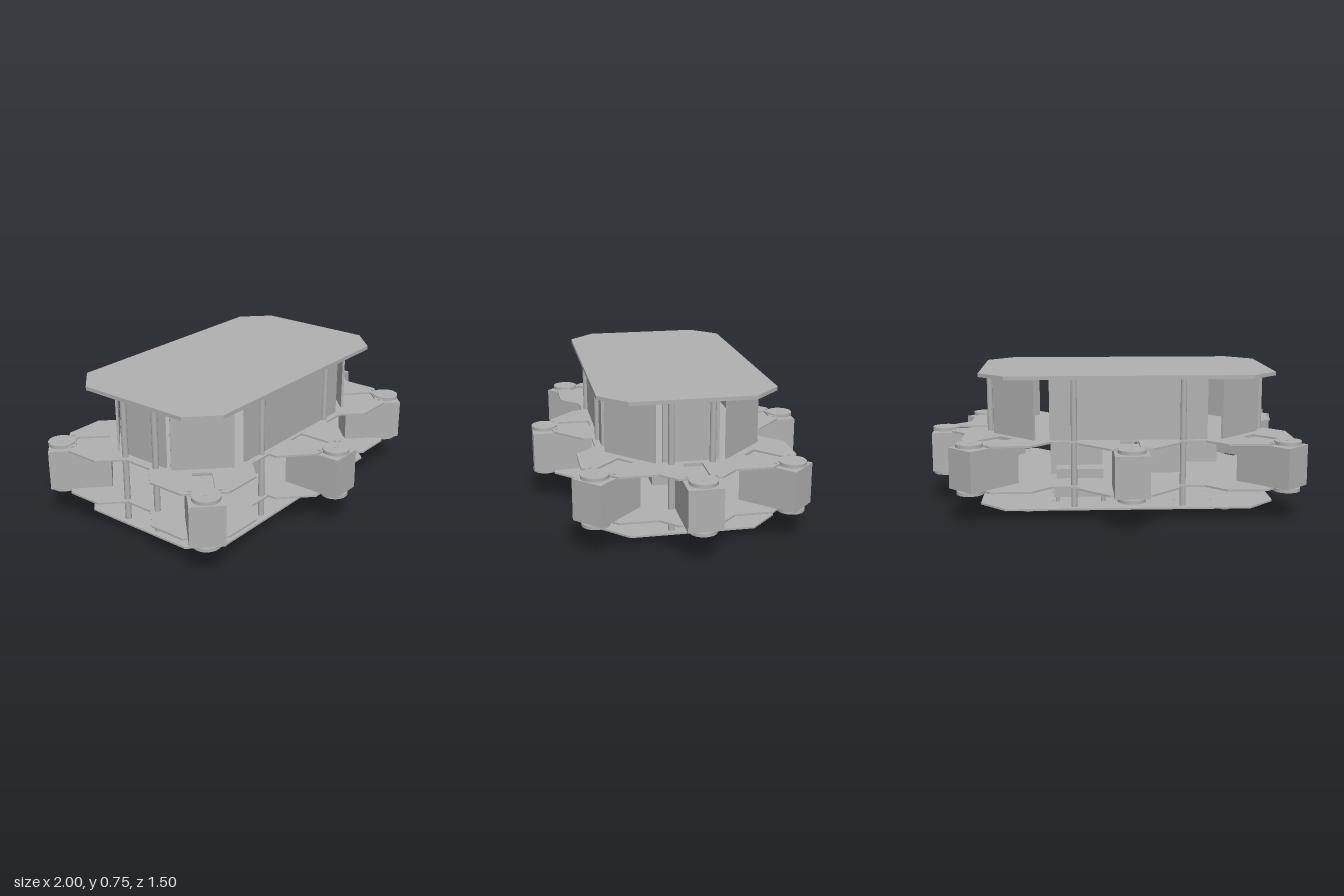
import * as THREE from 'three';

export function createModel() {
  const root = new THREE.Group();
  root.name = 'robotChassis';
  const body = new THREE.Group();
  body.name = 'chassis';
  body.position.x = -0.0725;
  root.add(body);

  const gray = new THREE.MeshStandardMaterial({ color: 0xb0b0b0 });
  gray.name = 'plain gray';

  const add = (name, geometry, x, y, z, turn = 0, parent = body) => {
    const mesh = new THREE.Mesh(geometry, gray);
    mesh.name = name;
    mesh.position.set(x, y, z);
    mesh.rotation.y = turn;
    parent.add(mesh);
    return mesh;
  };
  // Box given by its limits
  const block = (name, x0, x1, y0, y1, z0, z1) =>
    add(name, new THREE.BoxGeometry(x1 - x0, y1 - y0, z1 - z0), (x0 + x1) / 2, (y0 + y1) / 2, (z0 + z1) / 2);
  const rod = (name, r, y0, y1, x, z, sides = 16) =>
    add(name, new THREE.CylinderGeometry(r, r, y1 - y0, sides), x, (y0 + y1) / 2, z);
  // Horizontal sheet from a plan outline
  const sheet = (name, points, holes, y0, y1) => {
    const shape = new THREE.Shape(points.map(([x, z]) => new THREE.Vector2(x, z)));
    shape.holes = holes;
    const geometry = new THREE.ExtrudeGeometry(shape, { depth: y1 - y0, bevelEnabled: false, curveSegments: 6 });
    geometry.rotateX(Math.PI / 2);
    return add(name, geometry, 0, y1, 0);
  };
  const roundHole = (x, z, r) => new THREE.Path().absarc(x, z, r, 0, Math.PI * 2, true);

  // Bottom and top plates with cut corners
  const L = 0.7825, W = 0.46, C = 0.14;
  const octagon = [
    [L, -W + C], [L, W - C], [L - C, W], [C - L, W],
    [-L, W - C], [-L, C - W], [C - L, -W], [L - C, -W],
  ];
  const bottomHoles = [];
  for (const x of [-0.45, -0.25, 0.12, 0.4]) {
    for (const z of [-0.3, -0.12, 0.1, 0.28]) bottomHoles.push(roundHole(x, z, 0.008));
  }
  sheet('bottomPlate', octagon, bottomHoles, 0.05, 0.06);
  sheet('topPlate', octagon, [], 0.735, 0.755);

  // Servo axes: x, z and outward angle
  const servos = [[0.9975, 0, 0]];
  for (const s of [-1, 1]) {
    servos.push([0, s * 0.68, s * Math.PI / 2]);
    servos.push([0.8175, s * 0.495, s * Math.PI / 4]);
    servos.push([-0.8175, s * 0.495, s * Math.PI * 0.75]);
  }

  // Two middle plates with an arm, slot and pin holes at each servo
  const half = [
    [0.9525, 0.11], [0.8725, 0.19], [0.8725, 0.385], [0.7125, 0.55], [0.5025, 0.55], [0.4, 0.445],
    [0.2625, 0.445], [0.2625, 0.49], [0.1075, 0.64], [-0.1075, 0.64], [-0.2625, 0.49], [-0.2625, 0.445],
    [-0.4, 0.445], [-0.5025, 0.55], [-0.7125, 0.55], [-0.8725, 0.385], [-0.8725, 0.19], [-0.765, 0.08],
  ];
  const outline = [...half, ...half.map(([x, z]) => [x, -z]).reverse()];
  const middleHoles = () => {
    const holes = [];
    for (const [x, z, a] of servos) {
      const at = (r, t) => [x + r * Math.cos(a) - t * Math.sin(a), z + r * Math.sin(a) + t * Math.cos(a)];
      const corners = [at(-0.075, 0.05), at(-0.075, -0.05), at(-0.25, -0.05), at(-0.25, 0.05)];
      holes.push(new THREE.Path(corners.map(([u, v]) => new THREE.Vector2(u, v))));
      for (const t of [-0.073, 0.073]) holes.push(roundHole(...at(-0.058, t), 0.01));
    }
    return holes;
  };
  sheet('lowerMiddlePlate', outline, middleHoles(), 0.165, 0.175);
  sheet('upperMiddlePlate', outline, middleHoles(), 0.403, 0.413);

  // Servos with a horn above and below
  for (const [x, z, a] of servos) {
    const servo = new THREE.Group();
    servo.name = 'servo';
    servo.position.set(x, 0, z);
    servo.rotation.y = -a;
    body.add(servo);
    add('servoBody', new THREE.BoxGeometry(0.32, 0.215, 0.176), -0.0925, 0.288, 0, 0, servo);
    const horn = new THREE.CylinderGeometry(0.071, 0.071, 0.018, 32);
    const hub = new THREE.CylinderGeometry(0.03, 0.03, 0.012, 16);
    const screw = new THREE.CylinderGeometry(0.009, 0.009, 0.004, 12);
    for (const s of [-1, 1]) {
      add('servoHorn', horn, 0, 0.288 + s * 0.123, 0, 0, servo);
      add('hornHub', hub, 0, 0.288 + s * 0.109, 0, 0, servo);
      add('hornScrew', screw, 0, 0.288 + s * 0.132, 0, 0, servo);
    }
  }

  // Standoff posts and feet
  for (const sx of [-1, 1]) {
    for (const sz of [-1, 1]) {
      rod('post', 0.016, 0.055, 0.74, sx * 0.285, sz * 0.415);
      rod('post', 0.016, 0.055, 0.74, sx * 0.74, sz * 0.105);
      add('foot', new THREE.CylinderGeometry(0.05, 0.034, 0.036, 24), sx * 0.533, 0.018, sz * 0.262);
      rod('footNeck', 0.022, 0.036, 0.052, sx * 0.533, sz * 0.262);
    }
  }

  // Ring of upright panels between the upper plates
  const panel = (x, z, length, turn) =>
    add('sidePanel', new THREE.BoxGeometry(length, 0.322, 0.012), x, 0.574, z, turn);
  for (const s of [-1, 1]) {
    panel(0, s * 0.404, 0.825, 0);
    panel(s * 0.707, 0, 0.29, Math.PI / 2);
    for (const t of [-1, 1]) panel(s * 0.601, t * 0.291, 0.315, s * t * Math.PI / 4);
  }

  // Equipment between the middle plates
  block('controlBox', -0.5475, -0.09, 0.175, 0.375, 0.12, 0.245);
  block('batteryBox', -0.33, -0.1275, 0.175, 0.403, -0.145, 0.11);
  block('batteryBox', 0.1275, 0.4125, 0.175, 0.403, -0.15, 0.145);
  block('converter', 0.1275, 0.38, 0.175, 0.225, -0.26, -0.155);

  // Raised modules on the bottom plate
  const raised = (name, x0, x1, y0, y1, z0, z1) => {
    block(name, x0, x1, y0, y1, z0, z1);
    for (const x of [x0 + 0.02, x1 - 0.02]) {
      for (const z of [z0 + 0.02, z1 - 0.02]) rod('moduleLeg', 0.012, 0.06, y0, x, z, 10);
    }
  };
  raised('powerModule', 0.11, 0.3925, 0.088, 0.163, -0.325, -0.13);
  raised('radioModule', -0.5325, -0.4, 0.088, 0.156, 0.14, 0.285);
  raised('sensorModule', -0.105, 0.06, 0.1, 0.156, -0.08, 0.13);
  raised('circuitBoard', -0.175, 0.09, 0.085, 0.093, -0.055, 0.09);
  rod('sensorPin', 0.008, 0.026, 0.085, -0.048, 0.045, 10);

  return root;
}
